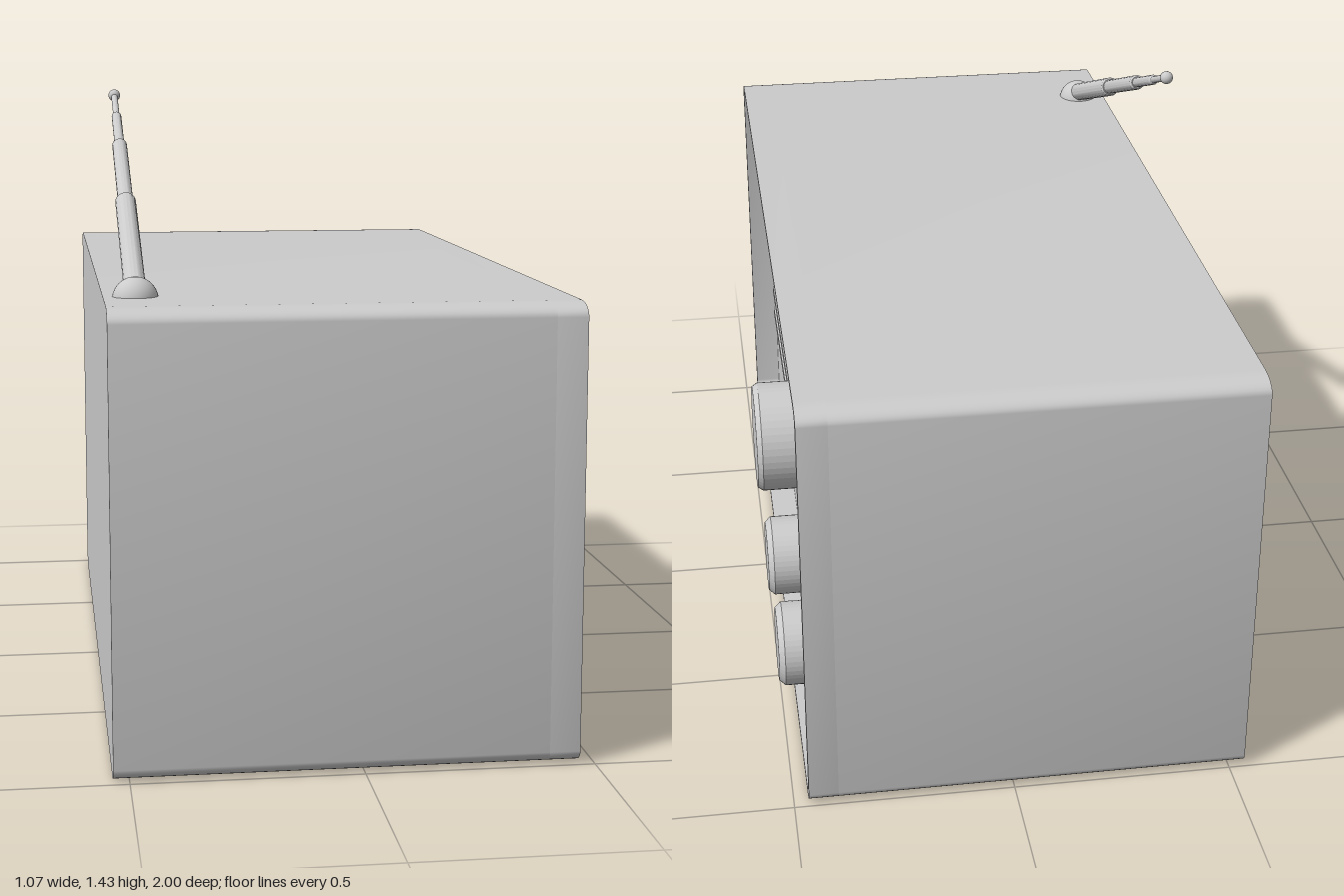
import * as THREE from 'three';
import { toCreasedNormals } from 'three/addons/utils/BufferGeometryUtils.js';

const FRONT = 0.467, PANEL = 0.4, BACK = -0.535;
const smooth = new THREE.MeshStandardMaterial({ color: 0xcccccc });
const faceted = new THREE.MeshStandardMaterial({ color: 0xcccccc, flatShading: true });

function mesh(name, geometry, material = smooth) {
  const m = new THREE.Mesh(geometry, material);
  m.name = name;
  return m;
}

// Rectangle inset from the 2 x 1 end of the cabinet, with elliptical corners
function outline(target, insetZ, insetY, rz, ry) {
  const w = 1 - insetZ, b = insetY, t = 1 - insetY;
  const corners = [[w - rz, b + ry, -0.5], [w - rz, t - ry, 0], [-w + rz, t - ry, 0.5], [-w + rz, b + ry, 1]];
  const points = [];
  for (const [cx, cy, start] of corners) {
    for (let i = 0; i <= 8; i++) {
      const a = (start + i / 16) * Math.PI;
      points.push(new THREE.Vector2(cx + rz * Math.cos(a), cy + ry * Math.sin(a)));
    }
  }
  return target.setFromPoints(points);
}

// Extrude an end outline along x, from x0 to x1
function extrudeX(shape, x0, x1) {
  const g = new THREE.ExtrudeGeometry(shape, { depth: x1 - x0, bevelEnabled: false });
  g.rotateY(Math.PI / 2).translate(x0, 0, 0);
  return toCreasedNormals(g, 0.6);
}

// Turned part standing on the panel, profile given as [radius, height]
function turned(name, profile, y, z) {
  const g = new THREE.LatheGeometry(profile.map(([r, h]) => new THREE.Vector2(r, h)), 48);
  const m = mesh(name, g, faceted);
  m.rotation.z = -Math.PI / 2;
  m.position.set(PANEL, y, z);
  return m;
}

function knob(name, radius, faceRadius, bevel, frontX, y, z) {
  const h = frontX - PANEL;
  return turned(name, [[radius, 0], [radius, h - bevel], [faceRadius, h], [0, h]], y, z);
}

function createAntenna() {
  const antenna = new THREE.Group();
  antenna.name = 'antenna';
  antenna.position.set(-0.465, 0.992, 0.75);

  antenna.add(mesh('antennaBase', new THREE.SphereGeometry(0.05, 32, 20)));

  // Telescopic rod built upright, then tilted towards -z
  const rod = new THREE.Group();
  rod.name = 'antennaRod';
  const ends = [0, 0.45, 0.77, 0.95, 1.082];
  const radii = [0.024, 0.018, 0.012, 0.008];
  radii.forEach((r, i) => {
    const a = Math.max(0, ends[i] - 0.01), b = ends[i + 1];
    const profile = [[r, a], [r, b - 0.006], [r - 0.004, b], [0, b]];
    const g = new THREE.LatheGeometry(profile.map(([x, y]) => new THREE.Vector2(x, y)), 20);
    rod.add(mesh('antennaSection' + (i + 1), toCreasedNormals(g, 0.6)));
  });
  const tip = mesh('antennaTip', new THREE.SphereGeometry(0.015, 20, 14));
  tip.position.y = 1.079;
  rod.add(tip);
  rod.rotation.x = -Math.atan2(1, 0.4);
  rod.position.y = 0.018;
  antenna.add(rod);
  return antenna;
}

export function createModel() {
  const radio = new THREE.Group();
  radio.name = 'radio';

  // Cabinet, with a thin rim standing around the recessed panel
  radio.add(mesh('cabinet', extrudeX(outline(new THREE.Shape(), 0, 0, 0.06, 0.03), BACK, PANEL)));
  const rimShape = outline(new THREE.Shape(), 0, 0, 0.06, 0.03);
  rimShape.holes.push(outline(new THREE.Path(), 0.02, 0.011, 0.05, 0.025));
  radio.add(mesh('rim', extrudeX(rimShape, PANEL, FRONT)));

  // Speaker grille of horizontal slats
  const grille = new THREE.Group();
  grille.name = 'speakerGrille';
  for (let i = 0; i < 10; i++) {
    const slat = mesh('slat', new THREE.BoxGeometry(0.02, 0.022, 0.85));
    slat.position.set(PANEL, 0.3 + i * 0.068, 0.495);
    grille.add(slat);
  }
  radio.add(grille);

  // Tuning dial and the three knobs
  radio.add(turned('dialRing', [[0.25, 0], [0.2, 0.035], [0, 0.035]], 0.667, -0.487));
  radio.add(knob('tuningKnob', 0.125, 0.117, 0.012, 0.532, 0.667, -0.487));
  radio.add(knob('leftKnob', 0.097, 0.084, 0.014, 0.51, 0.218, -0.298));
  radio.add(knob('rightKnob', 0.097, 0.084, 0.014, 0.51, 0.218, -0.676));

  radio.add(createAntenna());
  return radio;
}
